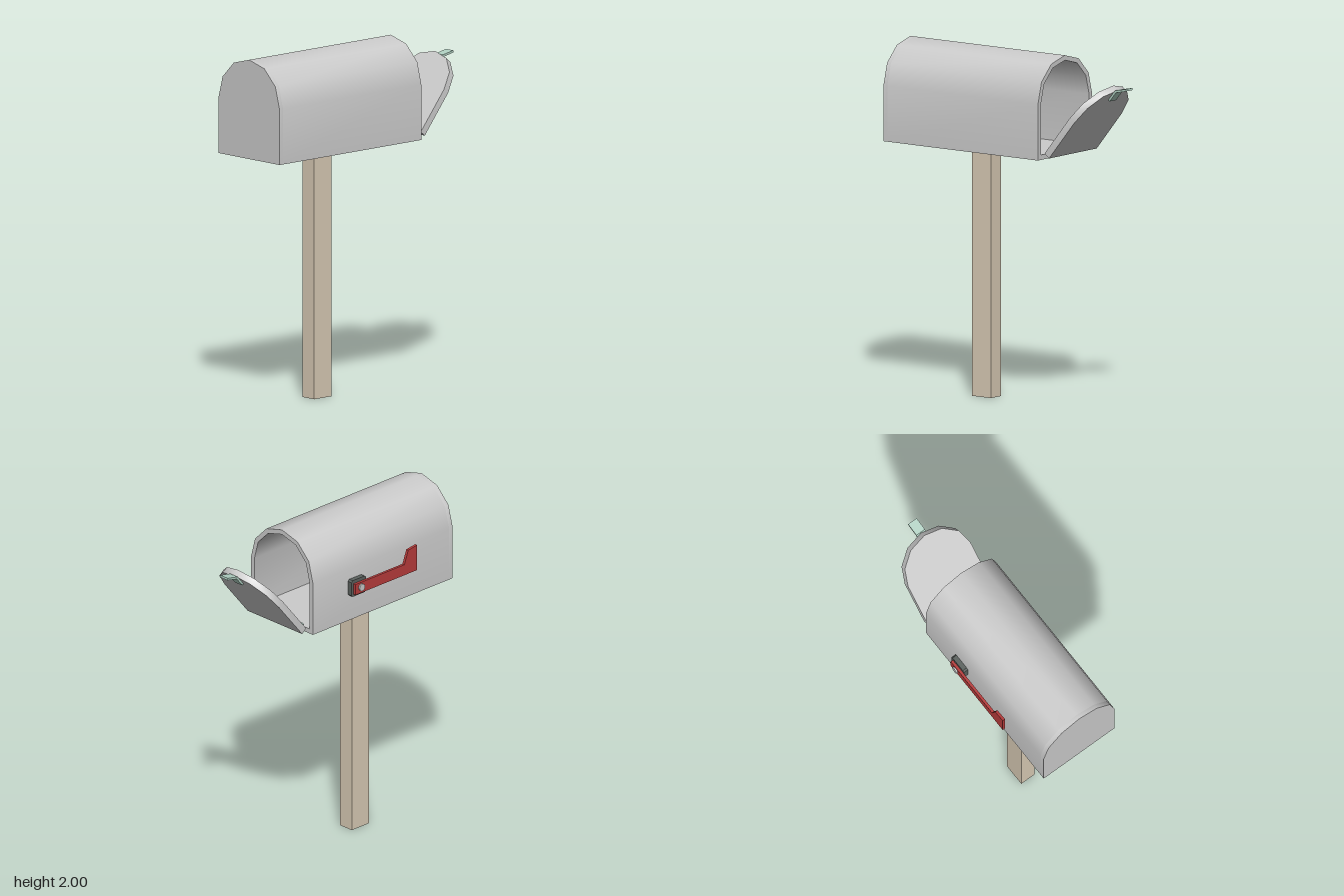
import * as THREE from 'three';
import { toCreasedNormals } from 'three/addons/utils/BufferGeometryUtils.js';

const CX = 0.025; // centre line of box, door and post

const paint = (color) => new THREE.MeshStandardMaterial({ color });
const grey = paint(0xcccccc);
const wood = paint(0xd9cbb5);
const red = paint(0xb83c3c);
const mint = paint(0xb0d0c2);
const dark = paint(0x5c625f);

function add(parent, name, geometry, material, x = 0, y = 0, z = 0) {
  const mesh = new THREE.Mesh(geometry, material);
  mesh.name = name;
  mesh.position.set(x, y, z);
  parent.add(mesh);
  return mesh;
}

// Flat-bottomed outline with a six-sided arch on top
function archPoints(radius, bottom, spring) {
  const points = [new THREE.Vector2(-radius, bottom), new THREE.Vector2(radius, bottom)];
  for (let i = 0; i <= 6; i++) {
    const a = (i * Math.PI) / 6;
    points.push(new THREE.Vector2(radius * Math.cos(a), spring + radius * Math.sin(a)));
  }
  return points;
}

function extrude(shape, depth) {
  const geometry = new THREE.ExtrudeGeometry(shape, { depth, bevelEnabled: false });
  return toCreasedNormals(geometry, 0.6);
}

// Side profile given as [z, y] pairs, extruded across x and centred
function sideProfile(pairs, width) {
  const shape = new THREE.Shape(pairs.map(([z, y]) => new THREE.Vector2(z, y)));
  return extrude(shape, width).translate(0, 0, -width / 2).rotateY(-Math.PI / 2);
}

export function createModel() {
  const model = new THREE.Group();
  model.name = 'mailbox';

  // Post
  add(model, 'post', new THREE.BoxGeometry(0.095, 1.435, 0.135), wood, 0.018, 0.7175, 0.243);

  // Hollow box, open at the back, closed at the front
  const outline = archPoints(0.25, 1.432, 1.75);
  const shell = new THREE.Shape(outline);
  shell.holes.push(new THREE.Path(archPoints(0.222, 1.46, 1.75)));
  add(model, 'boxShell', extrude(shell, 1.07), grey, CX, 0, -0.32);
  add(model, 'frontPanel', extrude(new THREE.Shape(outline), 0.027), grey, CX, 0, 0.75);

  // Door, hinged at its lower edge and hanging open
  const door = new THREE.Group();
  door.name = 'door';
  door.position.set(CX, 1.458, -0.36);
  door.rotation.x = -0.685;
  model.add(door);
  add(door, 'doorPanel', extrude(new THREE.Shape(archPoints(0.22, 0, 0.285)), 0.04), grey, 0, 0, -0.02);

  // Bent pull tab on the outside of the door
  const tab = [
    [-0.02, 0.435], [-0.02, 0.51], [-0.07, 0.57],
    [-0.079, 0.562], [-0.032, 0.504], [-0.032, 0.435],
  ];
  add(door, 'pullTab', sideProfile(tab, 0.06), mint);

  // Hinge barrels, pin and leaves
  const barrel = new THREE.CylinderGeometry(0.018, 0.018, 0.085, 10).rotateZ(Math.PI / 2);
  for (const side of [-1, 1]) {
    add(model, 'hingeBarrel', barrel, mint, 0.01 + side * 0.117, 1.47, -0.338);
    add(model, 'hingeLeaf', new THREE.BoxGeometry(0.085, 0.008, 0.03), mint, 0.01 + side * 0.117, 1.462, -0.35);
  }
  const pin = new THREE.CylinderGeometry(0.006, 0.006, 0.3, 8).rotateZ(Math.PI / 2);
  add(model, 'hingePin', pin, mint, 0.01, 1.47, -0.338);

  // Signal flag, lowered along the side, with its bracket and pivot
  const flag = [
    [-0.03, 1.6], [0.455, 1.6], [0.455, 1.755],
    [0.385, 1.745], [0.355, 1.665], [-0.03, 1.665],
  ];
  add(model, 'flag', sideProfile(flag, 0.016), red, -0.262, 0, 0);
  const bracket = [
    [-0.045, 1.595], [-0.035, 1.585], [0.06, 1.585], [0.07, 1.595],
    [0.07, 1.675], [0.06, 1.685], [-0.035, 1.685], [-0.045, 1.675],
  ];
  add(model, 'flagBracket', sideProfile(bracket, 0.03), dark, -0.238, 0, 0);
  const pivot = new THREE.CylinderGeometry(0.022, 0.022, 0.035, 10).rotateZ(Math.PI / 2);
  add(model, 'flagPivot', pivot, grey, -0.262, 1.635, 0.016);

  return model;
}
